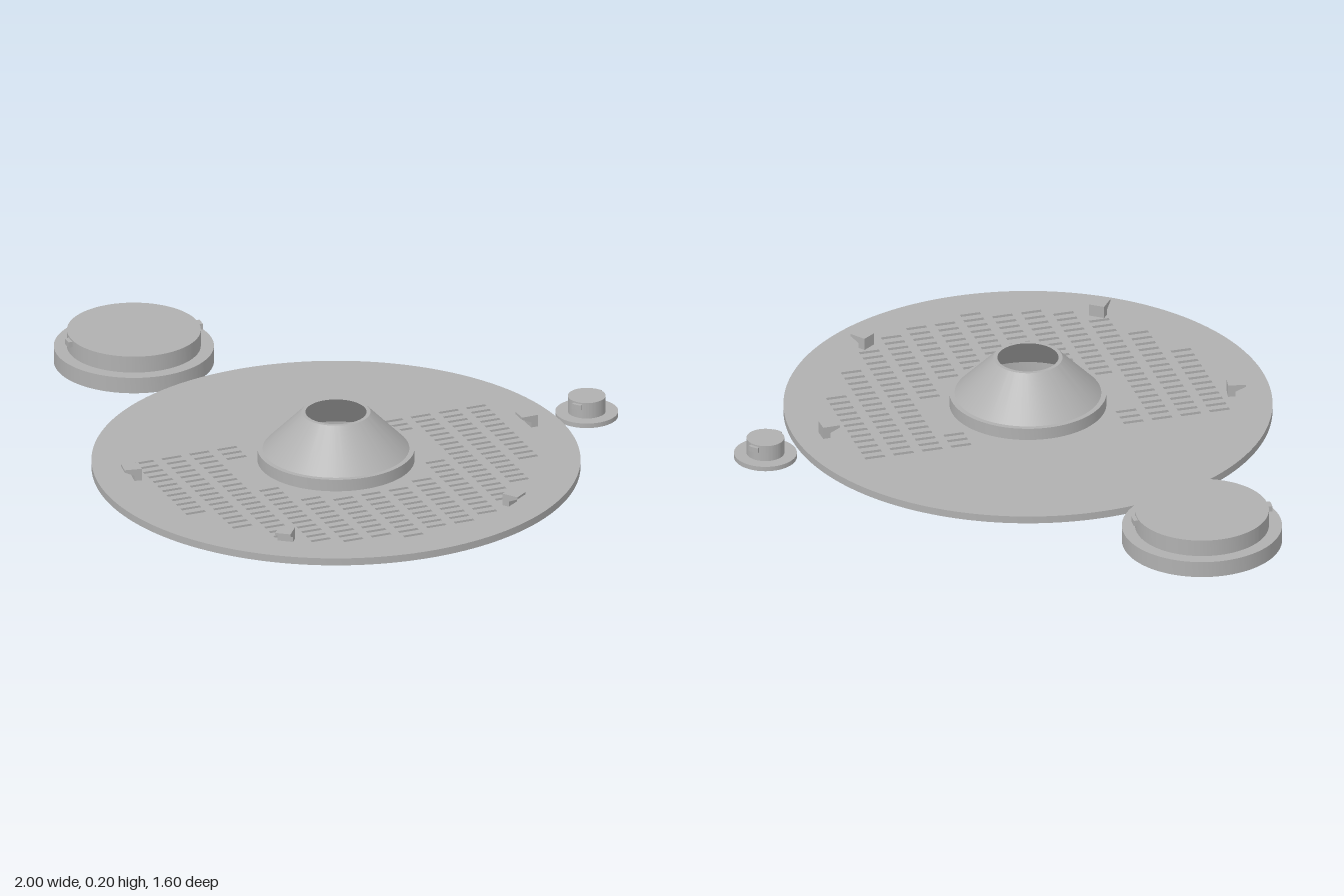
import * as THREE from 'three';
import { toCreasedNormals } from 'three/addons/utils/BufferGeometryUtils.js';

const grey = new THREE.MeshStandardMaterial({ color: 0xb0b0b0 });
grey.name = 'plain grey';

function add(parent, name, geometry) {
  const mesh = new THREE.Mesh(toCreasedNormals(geometry, 0.5), grey);
  mesh.name = name;
  parent.add(mesh);
  return mesh;
}

// Extrude a plan drawn in (x, -z) upwards from y0 to y1
function slab(shape, y0, y1) {
  const g = new THREE.ExtrudeGeometry(shape, { depth: y1 - y0, bevelEnabled: false, curveSegments: 96 });
  return g.rotateX(-Math.PI / 2).translate(0, y0, 0);
}

function disc(radius) {
  return new THREE.Shape().absarc(0, 0, radius, 0, Math.PI * 2, false);
}

// Curved block between two radii, centred on an angle
function arcBlock(r0, r1, angle, span, y0, y1) {
  const s = new THREE.Shape();
  s.absarc(0, 0, r1, angle - span / 2, angle + span / 2, false);
  s.absarc(0, 0, r0, angle + span / 2, angle - span / 2, true);
  s.closePath();
  return slab(s, y0, y1);
}

// Diagonal vent slots in a grid turned by 45 degrees
function addVents(shape) {
  const d = Math.SQRT1_2, halfL = 0.034, halfW = 0.0075;
  for (let k = -6; k <= 6; k++) {
    for (let j = 0; j < 23; j++) {
      const u = k * 0.098, v = -0.22 + j * 0.04;
      const inner = Math.hypot(Math.max(Math.abs(u) - halfL, 0), v);
      const outer = Math.hypot(Math.abs(u) + halfL, v);
      if (inner < 0.28 || outer > 0.667 || (v < 0 && Math.abs(k) < 3)) continue;
      const corners = [[-1, -1], [-1, 1], [1, 1], [1, -1]].map(([a, b]) => {
        const p = u + a * halfL, q = v + b * halfW;
        return new THREE.Vector2((p + q) * d, (p - q) * d);
      });
      shape.holes.push(new THREE.Path(corners));
    }
  }
}

// Stadium-shaped grip slot lying across the diagonal
function gripSlot(offset, halfLength, r) {
  const path = new THREE.Path(), a = -Math.PI / 4;
  const cx = -Math.sin(a) * offset, cy = Math.cos(a) * offset;
  const ex = Math.cos(a) * halfLength, ey = Math.sin(a) * halfLength;
  path.absarc(cx + ex, cy + ey, r, a - Math.PI / 2, a + Math.PI / 2, false);
  path.absarc(cx - ex, cy - ey, r, a + Math.PI / 2, a + Math.PI * 1.5, false);
  path.closePath();
  return path;
}

export function createModel() {
  const model = new THREE.Group();
  model.name = 'ventedCoverSet';

  // Main plate with vents and the central opening
  const cover = new THREE.Group();
  cover.name = 'cover';
  cover.position.set(0.2, 0, 0);
  model.add(cover);
  const plate = disc(0.8);
  plate.holes.push(new THREE.Path().absarc(0, 0, 0.225, 0, Math.PI * 2, true));
  addVents(plate);
  add(cover, 'ventedPlate', slab(plate, 0, 0.025));

  // Hollow cone on its collar
  const profile = [[0.257, 0.025], [0.257, 0.066], [0.24, 0.066], [0.113, 0.196],
    [0.1, 0.196], [0.225, 0.062], [0.225, 0.02]].map(([r, y]) => new THREE.Vector2(r, y));
  add(cover, 'hollowCone', new THREE.LatheGeometry(profile, 96));

  // Locking tracks inside the collar
  for (const angle of [0.8, 0.8 + Math.PI]) {
    add(cover, 'lockingTrack', arcBlock(0.208, 0.226, angle, 1.1, 0.03, 0.042));
    add(cover, 'trackStop', arcBlock(0.208, 0.226, angle + 0.55, 0.1, 0.012, 0.042));
  }

  // Snap hooks around the rim: angle and side the barb faces
  const hook = new THREE.Shape([[-0.029, 0.02], [-0.004, 0.02], [-0.004, 0.043], [0.029, 0.058],
    [0.029, 0.066], [-0.029, 0.066]].map(([x, y]) => new THREE.Vector2(x, y)));
  for (const [degrees, flip] of [[145, 0], [81.6, 0], [9.3, 0], [-46.8, Math.PI]]) {
    const a = THREE.MathUtils.degToRad(degrees);
    const g = new THREE.ExtrudeGeometry(hook, { depth: 0.052, bevelEnabled: false });
    const clip = add(cover, 'snapHook', g.translate(0, 0, -0.026));
    clip.position.set(Math.cos(a) * 0.685, 0, Math.sin(a) * 0.685);
    clip.rotation.y = -a + flip;
  }

  // Large plug with two grip slots underneath
  const large = new THREE.Group();
  large.name = 'largePlug';
  large.position.set(-0.738, 0, -0.537);
  model.add(large);
  const base = disc(0.262);
  for (const side of [-1, 1]) base.holes.push(gripSlot(side * 0.05, 0.11, 0.02));
  add(large, 'largePlugFlange', slab(base, 0, 0.055));
  add(large, 'largePlugBody', slab(disc(0.219), 0.054, 0.112));

  // Small plug
  const small = new THREE.Group();
  small.name = 'smallPlug';
  small.position.set(0.799, 0, -0.697);
  model.add(small);
  add(small, 'smallPlugFlange', slab(disc(0.103), 0, 0.016));
  add(small, 'smallPlugBody', slab(disc(0.062), 0.015, 0.071));

  // Opposed locking lugs on both plugs
  for (const half of [0, Math.PI]) {
    add(large, 'largePlugLug', arcBlock(0.21, 0.233, 0.72 + half, 0.16, 0.088, 0.107));
    add(small, 'smallPlugLug', arcBlock(0.055, 0.073, Math.PI / 2 - 0.1 + half, 0.5, 0.048, 0.066));
  }

  return model;
}
